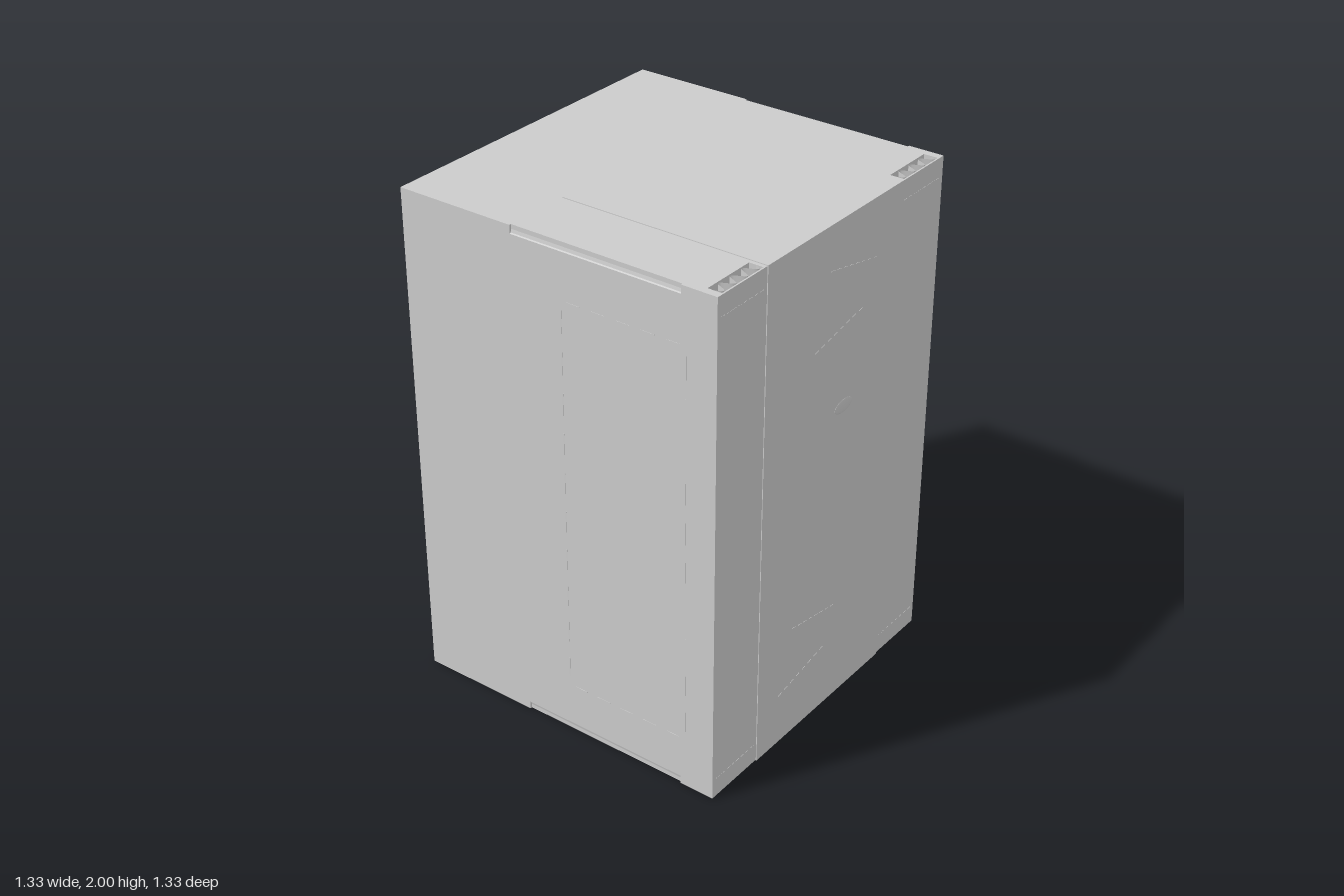
import * as THREE from 'three';

const W = 0.665;            // half width
const Y0 = 0.003, Y1 = 1.997; // outer shell height range
const CAP = 0.08;           // depth of the spring pockets

export function createModel() {
  const root = new THREE.Group();
  const mat = new THREE.MeshStandardMaterial({ color: 0xcccccc });
  const thin = new THREE.MeshStandardMaterial({ color: 0xcccccc, side: THREE.DoubleSide });

  const add = (name, geo, x = 0, y = 0, z = 0, material = mat) => {
    const m = new THREE.Mesh(geo, material);
    m.name = name;
    m.position.set(x, y, z);
    root.add(m);
    return m;
  };
  const box = (name, x0, x1, y0, y1, z0, z1) => add(name,
    new THREE.BoxGeometry(x1 - x0, y1 - y0, z1 - z0), (x0 + x1) / 2, (y0 + y1) / 2, (z0 + z1) / 2);
  const polygon = pts => new THREE.Shape(pts.map(p => new THREE.Vector2(...p)));
  const rect = (x0, x1, y0, y1) => polygon([[x0, y0], [x1, y0], [x1, y1], [x0, y1]]);
  const extrude = (shape, depth) => new THREE.ExtrudeGeometry(shape, { depth, bevelEnabled: false, curveSegments: 12 });

  // Back wall with a long rounded groove
  const r = 0.014, g0 = 0.07, g1 = 1.925;
  const back = rect(-W, W, Y0, Y1);
  const slot = new THREE.Path();
  slot.absarc(0, g1 - r, r, 0, Math.PI, false);
  slot.absarc(0, g0 + r, r, Math.PI, Math.PI * 2, false);
  slot.closePath();
  back.holes.push(slot);
  add('backWall', extrude(back, 0.025), 0, 0, -W);
  const profile = [];
  for (let i = 0; i <= 6; i++) {
    const a = -Math.PI / 2 + i * Math.PI / 12;
    profile.push(new THREE.Vector2(r * Math.cos(a), g0 + r + r * Math.sin(a)));
  }
  for (let i = 0; i <= 6; i++) {
    const a = i * Math.PI / 12;
    profile.push(new THREE.Vector2(r * Math.cos(a), g1 - r + r * Math.sin(a)));
  }
  add('backGroove', new THREE.LatheGeometry(profile, 12, -Math.PI / 2, Math.PI), 0, 0, -W, thin);

  // Main body: plain rear, then a length with hollowed finger grips on its four long edges
  box('rearBody', -W, W, Y0, Y1, -W + 0.025, -0.18);
  const grip = [[W, 1.965], [0.66, 1.968], [0.657, 1.98], [0.657, Y1]];
  const upper = [...grip, ...grip.map(([x, y]) => [-x, y]).reverse()];
  const section = [...upper, ...upper.map(([x, y]) => [x, 2 - y]).reverse()];
  add('grippedBody', extrude(polygon(section), 0.7), 0, 0, -0.18);

  // Front body: capped at top and bottom by slabs with spring pockets
  const F = 0.661;
  box('frontBody', -W, W, CAP, 2 - CAP, 0.52, F);
  const wave = [];
  for (let i = 0; i <= 48; i++) {
    const t = i / 48;
    wave.push(new THREE.Vector2(0.416 + 0.218 * t, 0.628 + 0.023 * Math.sin(t * Math.PI * 7)));
  }
  for (const [y0, y1] of [[Y0, CAP], [2 - CAP, Y1]]) {
    const cap = rect(-W, W, -F, -0.52);
    for (const s of [-1, 1]) {
      const hole = [[0.415, -0.655], [0.635, -0.655], [0.635, -0.6], [0.415, -0.6]];
      cap.holes.push(new THREE.Path(hole.map(([x, y]) => new THREE.Vector2(s * x, y))));
    }
    const geo = extrude(cap, y1 - y0);
    geo.rotateX(-Math.PI / 2);
    add('pocketSlab', geo, 0, y0);

    // Wavy spring strips standing in the pockets
    for (const s of [-1, 1]) {
      const strip = new THREE.PlaneGeometry(1, y1 - y0, 48, 1);
      const p = strip.attributes.position;
      for (let i = 0; i < p.count; i++) {
        const w = wave[i % 49];
        p.setXYZ(i, s * w.x, p.getY(i), w.y);
      }
      strip.computeVertexNormals();
      add('wavySpring', strip, 0, (y0 + y1) / 2, 0, thin);
    }
  }

  // Centre insert, standing slightly proud of the shell
  box('centreInsert', -0.4, 0.4, 0, 2, -0.175, 0.664);

  // Broken fine lines laid on a face: a = start, b = end
  const dashes = (name, a, b, count, fill, width) => {
    const A = new THREE.Vector3(...a), B = new THREE.Vector3(...b);
    const dir = B.clone().sub(A);
    const len = dir.length() / count;
    dir.normalize();
    for (let i = 0; i < count; i++) {
      const m = add(name, new THREE.BoxGeometry(len * fill, width, width));
      m.position.copy(A).addScaledVector(dir, (i + 0.5) * len);
      m.quaternion.setFromUnitVectors(new THREE.Vector3(1, 0, 0), dir);
    }
  };

  // Scored marks and oval boss on the front
  const zf = 0.664;
  const marks = [[-0.04, 1.83, 0.26, 1.77], [-0.12, 1.55, 0.18, 1.61],
    [-0.2, 0.47, 0.08, 0.42], [-0.28, 0.21, 0.02, 0.27]];
  for (const [x0, y0, x1, y1] of marks) dashes('frontMark', [x0, y0, zf], [x1, y1, zf], 8, 0.55, 0.003);
  const boss = add('ovalBoss', new THREE.SphereGeometry(1, 32, 16), 0.08, 1.265, zf);
  boss.scale.set(0.055, 0.026, 0.003);
  for (const s of [-1, 1]) {
    for (const y of [CAP, 2 - CAP]) {
      dashes('pocketSeam', [s * 0.41, y, F], [s * 0.65, y, F], 8, 0.7, 0.002);
    }
  }

  // Broken outline of the side panel, on one side only
  const c = [[0.21, 0.02], [0.21, 0.54], [1.785, 0.54], [1.785, 0.03]];
  c.forEach(([y, z], i) => {
    const [yn, zn] = c[(i + 1) % 4];
    dashes('sidePanelSeam', [-W, y, z], [-W, yn, zn], i % 2 ? 10 : 5, 0.55, 0.003);
  });
  return root;
}
